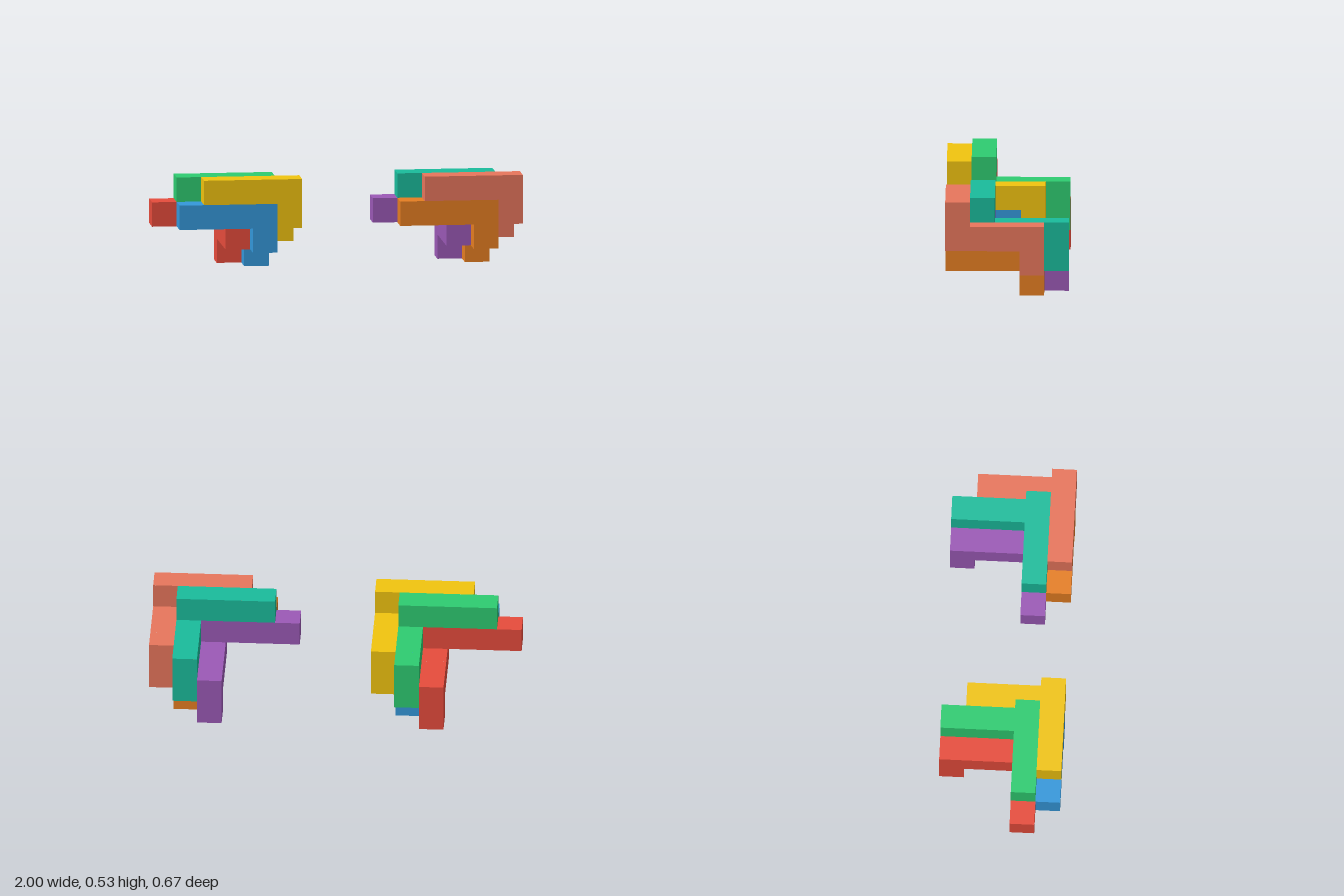
import * as THREE from 'three';
import { mergeGeometries } from 'three/addons/utils/BufferGeometryUtils.js';

const U = 2 / 15; // edge of one cube cell

// Cells of one piece: long bar, arm running back, foot pointing down
function pieceCells() {
  const cells = [];
  for (let i = 2; i <= 5; i++) cells.push([i, 3, 4]);
  for (let k = 4; k >= 1; k--) cells.push([5, 2, k]);
  cells.push([5, 1, 1]);
  return cells;
}

// Closed skin around a set of cells, with no faces between neighbours
function cellSkin(cells) {
  const filled = new Set(cells.map(String));
  const dirs = [[1, 0, 0], [-1, 0, 0], [0, 1, 0], [0, -1, 0], [0, 0, 1], [0, 0, -1]];
  const faces = [];
  for (const c of cells) {
    for (const d of dirs) {
      if (filled.has(String(c.map((v, a) => v + d[a])))) continue;
      const face = new THREE.PlaneGeometry(U, U);
      face.lookAt(new THREE.Vector3(...d));
      const [x, y, z] = c.map((v, a) => (v + 0.5 + d[a] / 2) * U);
      faces.push(face.translate(x, y, z));
    }
  }
  return mergeGeometries(faces);
}

export function createModel() {
  const model = new THREE.Group();
  model.name = 'interlockingBlocks';
  const geometry = cellSkin(pieceCells());

  // Each piece is the same shape, shifted by whole cells
  const pieces = [
    ['upperFrontPiece', [0, 0, 0], [0xf1c40f, 0xe8765c]],
    ['lowerFrontPiece', [-1, -1, 0], [0x3498db, 0xe67e22]],
    ['upperBackPiece', [-1, 0, -1], [0x2ecc71, 0x1abc9c]],
    ['lowerBackPiece', [-2, -1, -1], [0xe74c3c, 0x9b59b6]],
  ];

  // Two clusters side by side, nine cells apart
  ['rightCluster', 'leftCluster'].forEach((name, side) => {
    const cluster = new THREE.Group();
    cluster.name = name;
    cluster.position.set((-7.5 + side * 9) * U, 0, -2.5 * U);
    for (const [pieceName, shift, colors] of pieces) {
      const material = new THREE.MeshStandardMaterial({ color: colors[side] });
      const mesh = new THREE.Mesh(geometry, material);
      mesh.name = pieceName;
      mesh.position.set(...shift).multiplyScalar(U);
      cluster.add(mesh);
    }
    model.add(cluster);
  });
  return model;
}
